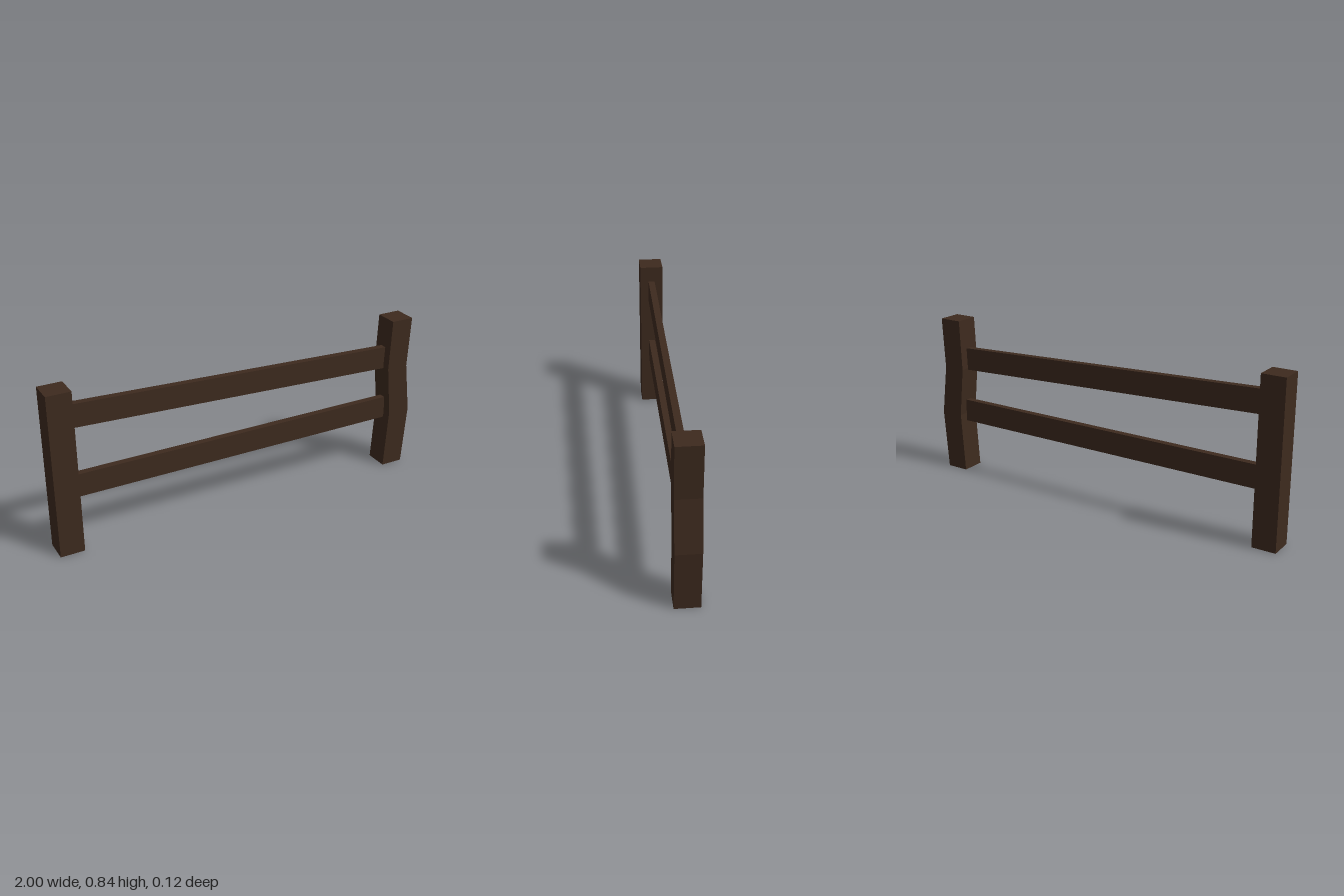
import * as THREE from 'three';

const wood = new THREE.MeshStandardMaterial({ color: 0x3d2a1e, flatShading: true });

// Plank cut from a front outline, centred on z = 0
function plank(name, outline, depth) {
  const shape = new THREE.Shape(outline.map(([x, y]) => new THREE.Vector2(x, y)));
  const geometry = new THREE.ExtrudeGeometry(shape, { depth, bevelEnabled: false });
  geometry.translate(0, 0, -depth / 2);
  const mesh = new THREE.Mesh(geometry, wood);
  mesh.name = name;
  return mesh;
}

// Post following a list of [left x, right x, y] sections
function post(name, sections) {
  const rightEdge = sections.map(([, r, y]) => [r, y]);
  const leftEdge = sections.map(([l, , y]) => [l, y]).reverse();
  return plank(name, [...rightEdge, ...leftEdge], 0.122);
}

// Rail from the right post to the left post, given its lower edge at each end
function rail(name, x0, y0, x1, y1) {
  const h = 0.119;
  return plank(name, [[x0, y0], [x1, y1], [x1, y1 + h], [x0, y0 + h]], 0.034);
}

export function createModel() {
  const fence = new THREE.Group();
  fence.name = 'fence';
  fence.add(
    post('straightPost', [[-1, -0.878, 0], [-1, -0.878, 0.84]]),
    // Warped post with two kinks
    post('bentPost', [
      [0.858, 0.977, 0],
      [0.877, 1, 0.315],
      [0.849, 0.966, 0.575],
      [0.859, 0.979, 0.84],
    ]),
    rail('upperRail', -0.88, 0.637, 0.856, 0.566),
    rail('lowerRail', -0.88, 0.274, 0.872, 0.274),
  );
  return fence;
}
